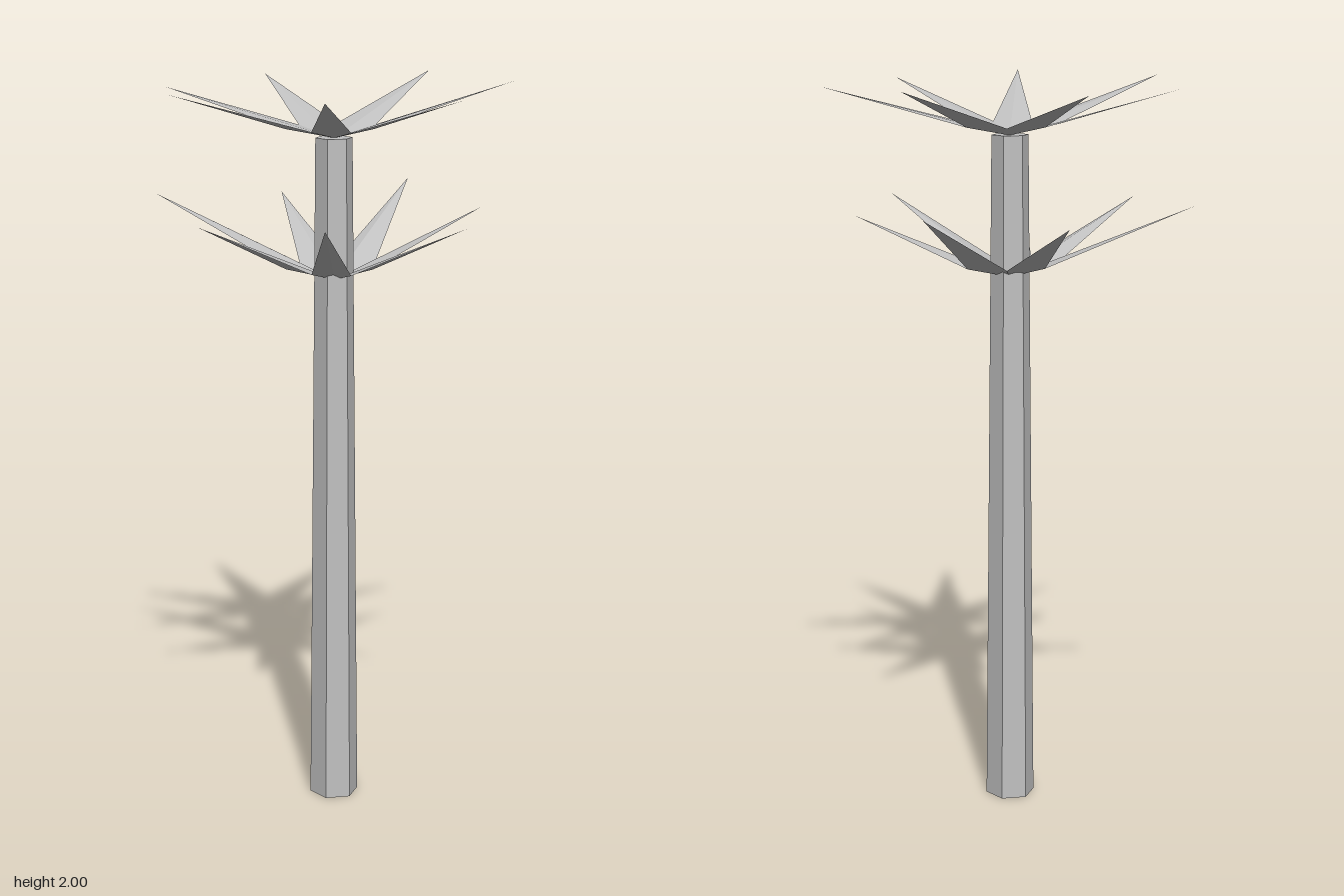
import * as THREE from 'three';

const leafGrey = new THREE.MeshStandardMaterial({ color: 0xc0c0c0, flatShading: true, side: THREE.DoubleSide });
leafGrey.name = 'plain grey';

// Notches between the leaves, [x, z], counter-clockwise seen from above
const notches = [
  [0.135, 0.033], [0.09, -0.065], [-0.005, -0.118], [-0.105, -0.08],
  [-0.125, 0.025], [-0.07, 0.115], [0.04, 0.1],
];

// A ring of pointed flat leaves: each is a kite of centre, notch, tip, notch
function crown(name, centreY, notchY, tips) {
  const centre = [0, centreY, 0];
  const valleys = notches.map(([x, z]) => [x, notchY, z]);
  const points = [];
  tips.forEach((tip, i) => {
    const next = valleys[(i + 1) % valleys.length];
    points.push(...centre, ...valleys[i], ...tip, ...centre, ...tip, ...next);
  });
  const geometry = new THREE.BufferGeometry();
  geometry.setAttribute('position', new THREE.Float32BufferAttribute(points, 3));
  geometry.computeVertexNormals();
  const mesh = new THREE.Mesh(geometry, leafGrey);
  mesh.name = name;
  return mesh;
}

export function createModel() {
  const tree = new THREE.Group();
  tree.name = 'palmTree';

  // Six-sided tapering trunk
  const height = 1.86;
  const trunk = new THREE.Mesh(new THREE.CylinderGeometry(0.05, 0.068, height, 6), leafGrey);
  trunk.name = 'trunk';
  trunk.position.set(-0.004, height / 2, 0.002);
  trunk.rotation.y = -0.17;
  tree.add(trunk);

  // Leaf tips are [x, y, z]
  tree.add(crown('upperLeaves', 1.858, 1.885, [
    [0.485, 2, -0.055], [0.195, 1.99, -0.413], [-0.228, 1.985, -0.395], [-0.495, 2, -0.127],
    [-0.412, 2, 0.31], [-0.06, 1.99, 0.463], [0.42, 1.995, 0.285],
  ]));
  tree.add(crown('lowerLeaves', 1.48, 1.513, [
    [0.49, 1.69, -0.13], [0.213, 1.66, -0.37], [-0.195, 1.69, -0.468], [-0.435, 1.665, -0.09],
    [-0.4, 1.69, 0.3], [-0.035, 1.668, 0.46], [0.35, 1.66, 0.235],
  ]));
  return tree;
}
